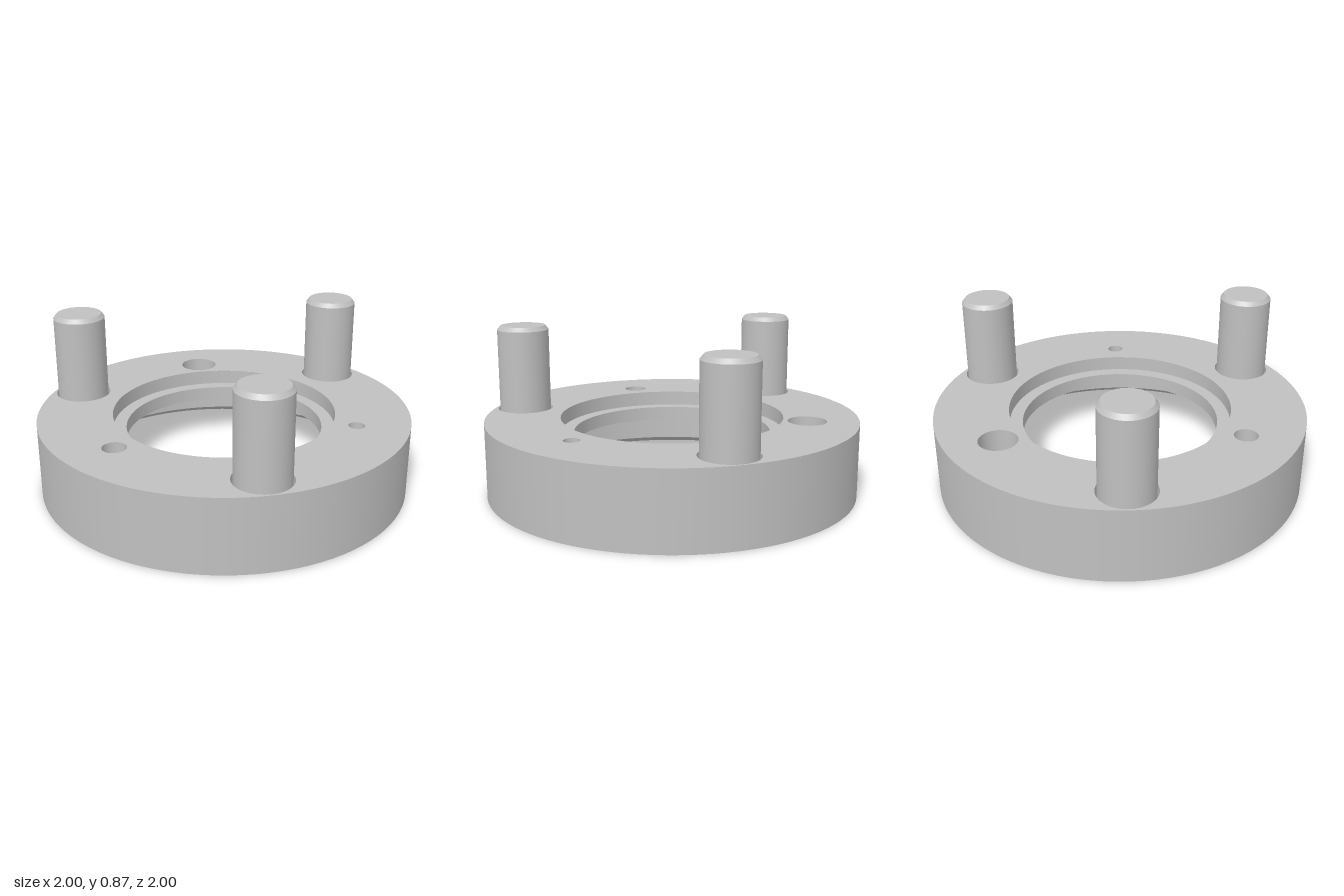
import * as THREE from 'three';
import { mergeGeometries } from 'three/addons/utils/BufferGeometryUtils.js';

const TOP = 0.4, LEDGE = 0.32, CEILING = 0.245;
const BORE = 0.53, COUNTERBORE = 0.6, CAVITY = 0.925;
const POCKET_FLOOR = 0.32, POCKET = 0.15, PIN = 0.14;

// Revolves each profile segment separately, so corners stay sharp and curves smooth.
// Profiles run upwards for outer walls, downwards for inner walls.
function revolve(profile, x = 0, z = 0, segments = 96) {
  const bands = [];
  for (let i = 0; i + 1 < profile.length; i++) {
    const pair = [profile[i], profile[i + 1]].map(([r, y]) => new THREE.Vector2(r, y));
    bands.push(new THREE.LatheGeometry(pair, segments));
  }
  return mergeGeometries(bands).translate(x, 0, z);
}

// Flat horizontal disc with round holes, facing up (1) or down (-1).
function plate(radius, holes, y, facing) {
  const shape = new THREE.Shape().absarc(0, 0, radius, 0, Math.PI * 2, false);
  for (const [x, z, r] of holes) {
    shape.holes.push(new THREE.Path().absarc(x, -facing * z, r, 0, Math.PI * 2, true));
  }
  return new THREE.ShapeGeometry(shape, 96).rotateX(-facing * Math.PI / 2).translate(0, y, 0);
}

export function createModel() {
  const group = new THREE.Group();
  const steel = new THREE.MeshStandardMaterial({ color: 0xc0c0c0 });
  steel.name = 'grey steel';

  const add = (name, geometry) => {
    const mesh = new THREE.Mesh(geometry, steel);
    mesh.name = name;
    group.add(mesh);
  };

  // Three pins evenly spaced, with three through holes between them
  const pins = [60, 180, 300].map((deg) => {
    const a = THREE.MathUtils.degToRad(deg);
    return [0.84 * Math.cos(a), 0.84 * Math.sin(a)];
  });
  const throughHoles = [[-0.365, -0.63, 0.103], [-0.365, 0.63, 0.063], [0.725, 0, 0.043]];
  const pockets = pins.map(([x, z]) => [x, z, POCKET]);

  // Ring body: outer wall, flat faces, stepped bore and hollow underside
  add('outerWall', revolve([[1, 0], [1, TOP]]));
  add('topFace', plate(1, [[0, 0, COUNTERBORE], ...throughHoles, ...pockets], TOP, 1));
  add('steppedBore', revolve([[COUNTERBORE, TOP], [COUNTERBORE, LEDGE], [BORE, LEDGE], [BORE, CEILING]]));
  add('undersideFace', plate(CAVITY, [[0, 0, BORE], ...throughHoles], CEILING, -1));
  add('undersideSkirt', revolve([[CAVITY, CEILING], [CAVITY, 0.027], [0.953, 0], [1, 0]]));

  // Walls of the through holes
  for (const [x, z, r] of throughHoles) {
    add('throughHole', revolve([[r, TOP], [r, CEILING]], x, z));
  }

  // Chamfered pins standing in shallow pockets
  for (const [x, z] of pins) {
    add('pinPocket', revolve([[POCKET, TOP], [POCKET, POCKET_FLOOR], [PIN, POCKET_FLOOR]], x, z));
    add('pin', revolve([[PIN, POCKET_FLOOR], [PIN, 0.842], [0.122, 0.865], [0, 0.865]], x, z, 64));
  }
  return group;
}
